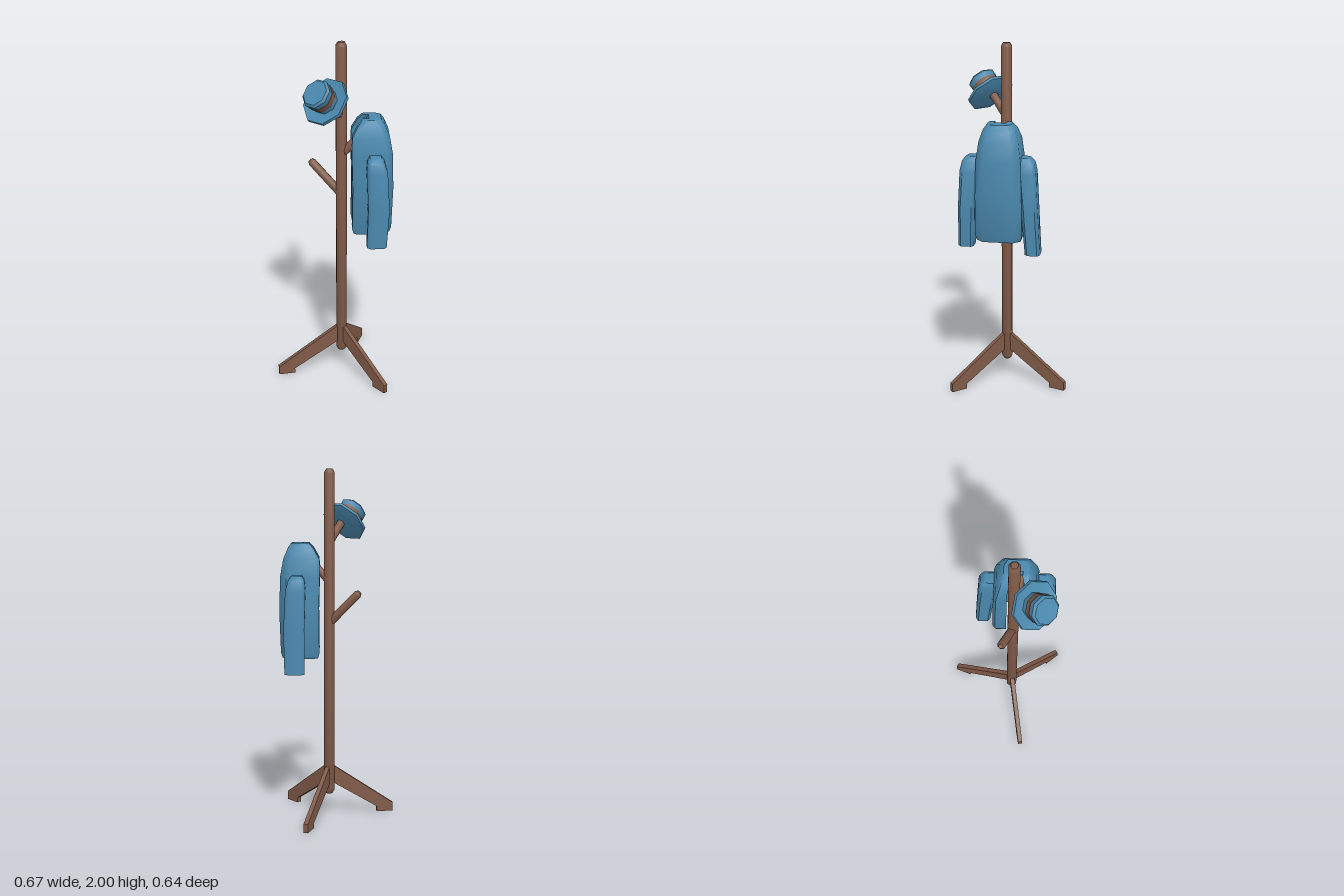
import * as THREE from 'three';
import { toCreasedNormals } from 'three/addons/utils/BufferGeometryUtils.js';

const wood = new THREE.MeshStandardMaterial({ color: 0x805a48 });
const cloth = new THREE.MeshStandardMaterial({ color: 0x4a88ad, side: THREE.DoubleSide });
const POLE_Z = 0.055;

function part(name, geometry, material, crease = 0.85) {
  const mesh = new THREE.Mesh(toCreasedNormals(geometry, crease), material);
  mesh.name = name;
  return mesh;
}

// Eight-sided turned solid from [radius, height] pairs.
function turned(points) {
  return new THREE.LatheGeometry(points.map(([r, y]) => new THREE.Vector2(r, y)), 8);
}

// Closed skin over horizontal rings { y, pts: [[x, z], ...] }, listed from the bottom up.
function loft(rings) {
  const n = rings[0].pts.length;
  const pos = rings.flatMap(r => r.pts.flatMap(([x, z]) => [x, r.y, z]));
  const index = [];
  for (let k = 0; k < rings.length - 1; k++) {
    for (let i = 0; i < n; i++) {
      const a = k * n + i, b = k * n + (i + 1) % n;
      index.push(a, a + n, b, b, a + n, b + n);
    }
  }
  const cap = (k, flip) => {
    const contour = rings[k].pts.map(([x, z]) => new THREE.Vector2(x, z));
    for (const [a, b, c] of THREE.ShapeUtils.triangulateShape(contour, [])) {
      const o = k * n;
      index.push(o + a, o + (flip ? c : b), o + (flip ? b : c));
    }
  };
  cap(0, false);
  cap(rings.length - 1, true);
  const g = new THREE.BufferGeometry();
  g.setAttribute('position', new THREE.Float32BufferAttribute(pos, 3));
  g.setIndex(index);
  return g;
}

// Round peg with a chamfered tip, between two points.
function peg(name, from, to) {
  const a = new THREE.Vector3(...from), dir = new THREE.Vector3(...to).sub(a);
  const l = dir.length(), r = 0.024;
  const mesh = part(name, turned([[0, 0], [r, 0], [r, l - 0.016], [r * 0.6, l], [0, l]]), wood);
  mesh.position.copy(a);
  mesh.quaternion.setFromUnitVectors(new THREE.Vector3(0, 1, 0), dir.normalize());
  return mesh;
}

function makeStand() {
  const stand = new THREE.Group();
  stand.name = 'stand';
  const pole = part('pole', turned([
    [0, 0.12], [0.02, 0.125], [0.032, 0.145], [0.032, 1.98], [0.02, 2], [0, 2],
  ]), wood);
  pole.position.z = POLE_Z;
  stand.add(pole);

  // Three splayed legs with flat feet
  const shape = new THREE.Shape([
    [0, 0.19], [0.03, 0.185], [0.285, 0.03], [0.285, 0], [0.38, 0], [0.38, 0.05], [0.03, 0.288], [0, 0.288],
  ].map(p => new THREE.Vector2(...p)));
  for (let i = 0; i < 3; i++) {
    const g = new THREE.ExtrudeGeometry(shape, { depth: 0.026, bevelEnabled: false });
    g.translate(0, 0, -0.013);
    const leg = part('leg', g, wood, 0.5);
    leg.position.z = POLE_Z;
    leg.rotation.y = Math.PI / 2 + i * Math.PI * 2 / 3;
    stand.add(leg);
  }

  stand.add(
    peg('barePeg', [0, 1.13, POLE_Z], [-0.182, 1.312, POLE_Z]),
    peg('coatPeg', [0, 1.37, POLE_Z], [0.16, 1.54, 0.035]),
    peg('hatPeg', [0, 1.59, POLE_Z], [-0.045, 1.73, 0.19]),
  );
  return stand;
}

function makeHat() {
  const hat = new THREE.Group();
  hat.name = 'hat';
  hat.add(
    part('hatBrim', turned([
      [0, -0.012], [0.085, -0.014], [0.137, 0.008], [0.135, 0.026], [0.08, 0.012], [0, 0.012],
    ]), cloth),
    part('hatCrown', turned([[0.07, 0], [0.073, 0.05], [0.084, 0.112], [0.072, 0.125], [0, 0.122]]), cloth),
    part('hatBand', turned([[0.07, 0.044], [0.077, 0.044], [0.081, 0.078], [0.07, 0.078]]), wood),
  );
  hat.position.set(-0.04, 1.695, 0.172);
  hat.quaternion.setFromUnitVectors(
    new THREE.Vector3(0, 1, 0), new THREE.Vector3(-0.3, 0.64, 0.7).normalize());
  return hat;
}

function makeCoat() {
  const coat = new THREE.Group();
  coat.name = 'coat';

  // C-shaped section, open towards the pole: half width h, inner/outer faces a and b,
  // half opening n, half cavity width w, cavity depth d
  const section = ([y, h, a, b, n, w, d]) => {
    const t = a + 0.028;
    const half = [[b, 0.68 * h], [b - 0.035, h], [a + 0.02, h], [a, 0.88 * h], [a, n], [t, n], [t, w], [d, w]];
    const other = half.map(([x, z]) => [x, -z]).reverse();
    return { y, pts: [...half, ...other].map(([x, z]) => [x, z + 0.063]) };
  };
  coat.add(part('coatBody', loft([
    [0.94, 0.122, 0.045, 0.245, 0.052, 0.095, 0.215],
    [0.97, 0.13, 0.037, 0.255, 0.052, 0.1, 0.22],
    [1.2, 0.128, 0.04, 0.263, 0.05, 0.1, 0.225],
    [1.4, 0.122, 0.035, 0.258, 0.05, 0.092, 0.22],
    [1.5, 0.108, 0.037, 0.24, 0.046, 0.075, 0.19],
    [1.56, 0.088, 0.07, 0.215, 0.04, 0.05, 0.12],
    [1.588, 0.068, 0.095, 0.195, 0.032, 0.036, 0.13],
  ].map(section)), cloth));

  // Sleeves: rows of [y, centre x, centre z, half depth, half width]
  const ring = ([y, x, z, u, v]) => ({
    y,
    pts: [[1, 0.65], [0.65, 1], [-0.65, 1], [-1, 0.65], [-1, -0.65], [-0.65, -1], [0.65, -1], [1, -0.65]]
      .map(([p, q]) => [x + p * u, z + q * v]),
  });
  coat.add(part('leftSleeve', loft([
    [0.9, 0.168, 0.247, 0.054, 0.043],
    [1.12, 0.178, 0.242, 0.058, 0.046],
    [1.33, 0.168, 0.228, 0.056, 0.05],
    [1.385, 0.162, 0.22, 0.046, 0.046],
    [1.41, 0.16, 0.207, 0.03, 0.034],
  ].map(ring)), cloth));
  coat.add(part('rightSleeve', loft([
    [0.865, 0.175, -0.125, 0.056, 0.042],
    [1.12, 0.178, -0.108, 0.058, 0.046],
    [1.33, 0.17, -0.092, 0.056, 0.05],
    [1.385, 0.165, -0.084, 0.046, 0.046],
    [1.41, 0.162, -0.072, 0.03, 0.034],
  ].map(ring)), cloth));

  coat.rotation.y = THREE.MathUtils.degToRad(20);
  return coat;
}

export function createModel() {
  const model = new THREE.Group();
  model.name = 'coatStand';
  model.add(makeStand(), makeHat(), makeCoat());
  return model;
}
